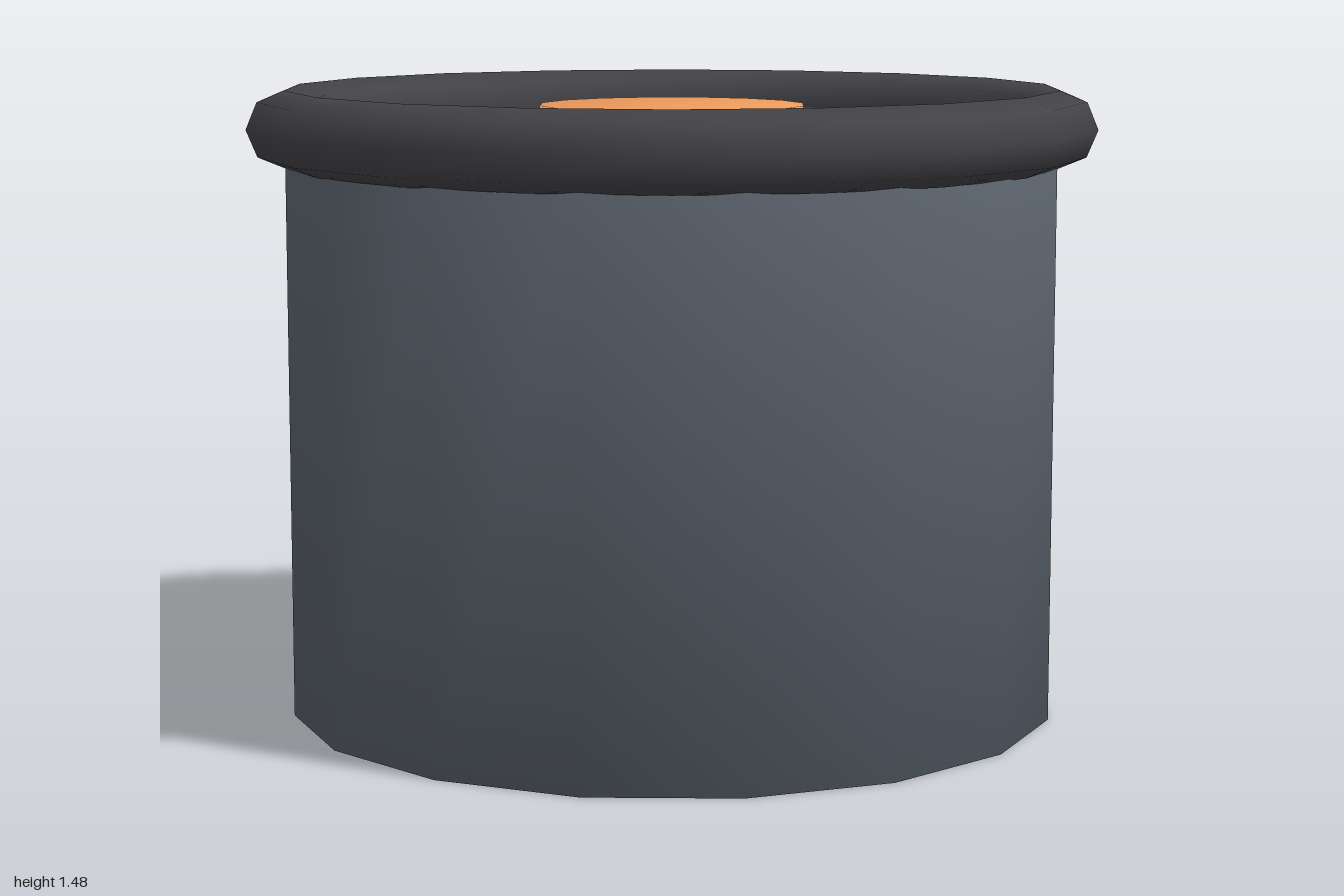
import * as THREE from 'three';
import { mergeVertices } from 'three/addons/utils/BufferGeometryUtils.js';

const BODY_RADIUS = 0.91;
const BODY_HEIGHT = 1.39;
const TUBE_RADIUS = 0.09;

// Share the vertices of caps and walls so the shading rolls over the edges
function softened(geometry) {
  geometry.deleteAttribute('normal');
  geometry.deleteAttribute('uv');
  const merged = mergeVertices(geometry);
  merged.computeVertexNormals();
  return merged;
}

function part(name, geometry, color, y) {
  const mesh = new THREE.Mesh(geometry, new THREE.MeshStandardMaterial({ color }));
  mesh.name = name;
  mesh.position.y = y;
  return mesh;
}

// Closed 16-sided drum, positioned by its base
function drum(name, radius, height, color, baseY) {
  const geometry = softened(new THREE.CylinderGeometry(radius, radius, height, 16));
  return part(name, geometry, color, baseY + height / 2);
}

export function createModel() {
  const model = new THREE.Group();
  model.name = 'drumWithRim';

  // Main body
  model.add(drum('body', BODY_RADIUS, BODY_HEIGHT, 0x59616b, 0));

  // Thick ring around the top edge
  const ring = new THREE.TorusGeometry(BODY_RADIUS, TUBE_RADIUS, 8, 18);
  ring.rotateX(Math.PI / 2);
  model.add(part('rim', ring, 0x434247, BODY_HEIGHT));

  // Thin raised disc in the middle of the top
  model.add(drum('centreDisc', 0.315, 0.05, 0xee9b5c, BODY_HEIGHT));

  return model;
}
